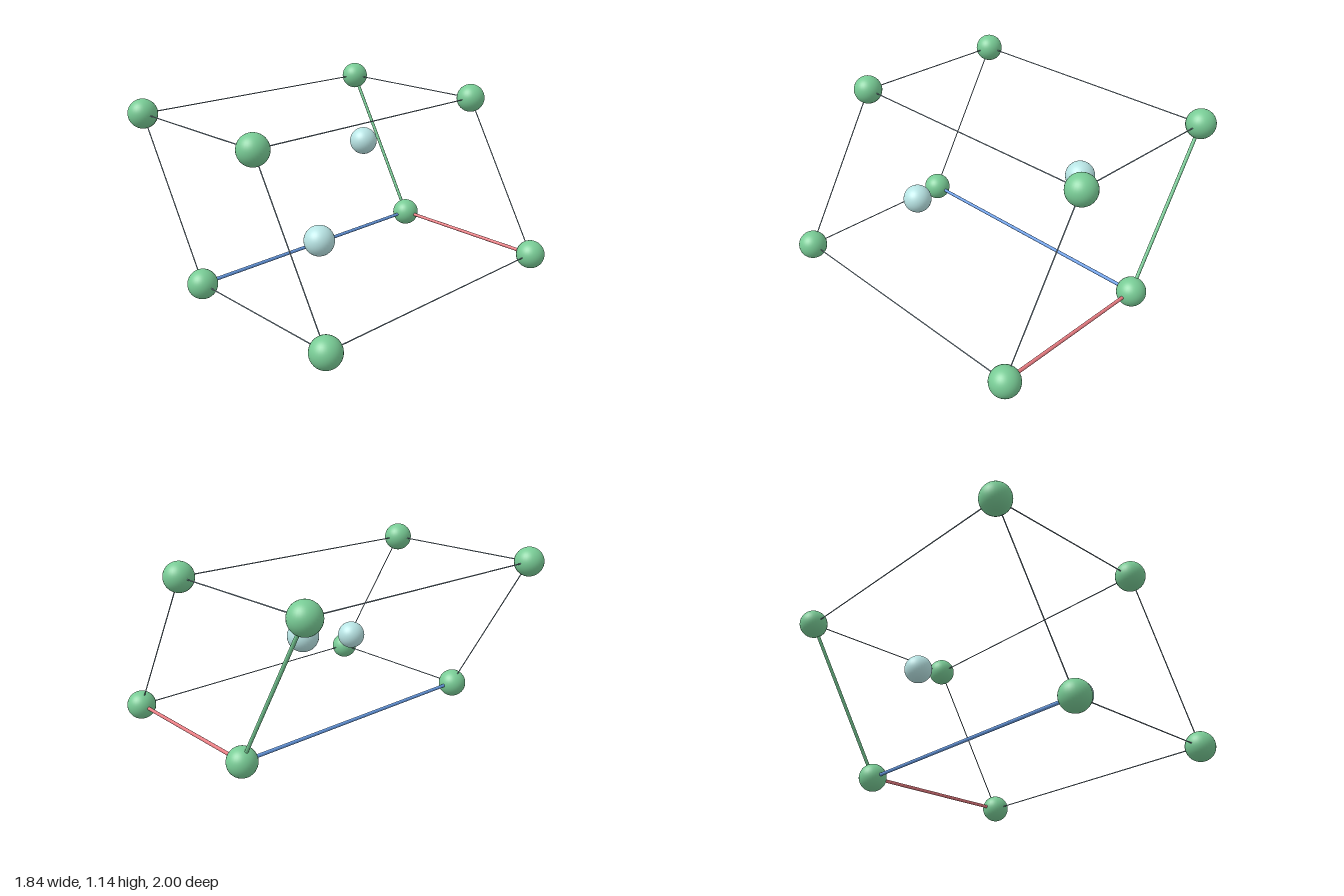
import * as THREE from 'three';

export function createModel() {
  const model = new THREE.Group();
  model.name = 'crystalUnitCell';

  const material = (name, color) => {
    const m = new THREE.MeshStandardMaterial({ color });
    m.name = name;
    return m;
  };
  const green = material('atomGreen', 0x78cb95);
  const pale = material('atomPaleBlue', 0xb8e4e4);
  const red = material('axisRed', 0xe87c82);
  const rodGreen = material('axisGreen', 0x78cb95);
  const blue = material('axisBlue', 0x6699e0);
  const slate = material('edgeSlate', 0x8a9fae);

  // Hexagonal cell: an origin corner and three lattice vectors
  const origin = new THREE.Vector3(-0.277, 0.092, -0.908);
  const axes = [
    new THREE.Vector3(1.106, 0, 0),
    new THREE.Vector3(-0.553, 0.958, 0),
    new THREE.Vector3(0, 0, 1.816),
  ];
  const point = (fractions) =>
    axes.reduce((p, axis, i) => p.addScaledVector(axis, fractions[i]), origin.clone());

  const atomGeometry = new THREE.SphereGeometry(0.092, 32, 24);
  function addAtom(name, fractions, mat) {
    const atom = new THREE.Mesh(atomGeometry, mat);
    atom.name = name;
    atom.position.copy(point(fractions));
    model.add(atom);
  }

  const up = new THREE.Vector3(0, 1, 0);
  function addRod(name, from, to, radius, mat) {
    const a = point(from);
    const b = point(to);
    const along = b.clone().sub(a);
    const rod = new THREE.Mesh(
      new THREE.CylinderGeometry(radius, radius, along.length(), 16), mat);
    rod.name = name;
    rod.position.copy(a).add(b).multiplyScalar(0.5);
    rod.quaternion.setFromUnitVectors(up, along.normalize());
    model.add(rod);
  }

  // Corner atoms
  for (const i of [0, 1])
    for (const j of [0, 1])
      for (const k of [0, 1]) addAtom('cornerAtom', [i, j, k], green);

  // Two atoms inside the cell
  addAtom('innerAtom', [1 / 3, 2 / 3, 1 / 4], pale);
  addAtom('innerAtom', [2 / 3, 1 / 3, 3 / 4], pale);

  // Four parallel edges per axis; the one through the origin is a thick coloured rod
  const axisMaterials = [red, rodGreen, blue];
  const axisNames = ['redAxis', 'greenAxis', 'blueAxis'];
  for (let n = 0; n < 3; n++) {
    for (const u of [0, 1]) {
      for (const v of [0, 1]) {
        const from = [0, 0, 0];
        from[(n + 1) % 3] = u;
        from[(n + 2) % 3] = v;
        const to = [...from];
        to[n] = 1;
        if (u + v === 0) addRod(axisNames[n], from, to, 0.011, axisMaterials[n]);
        else addRod('cellEdge', from, to, 0.0035, slate);
      }
    }
  }
  return model;
}
